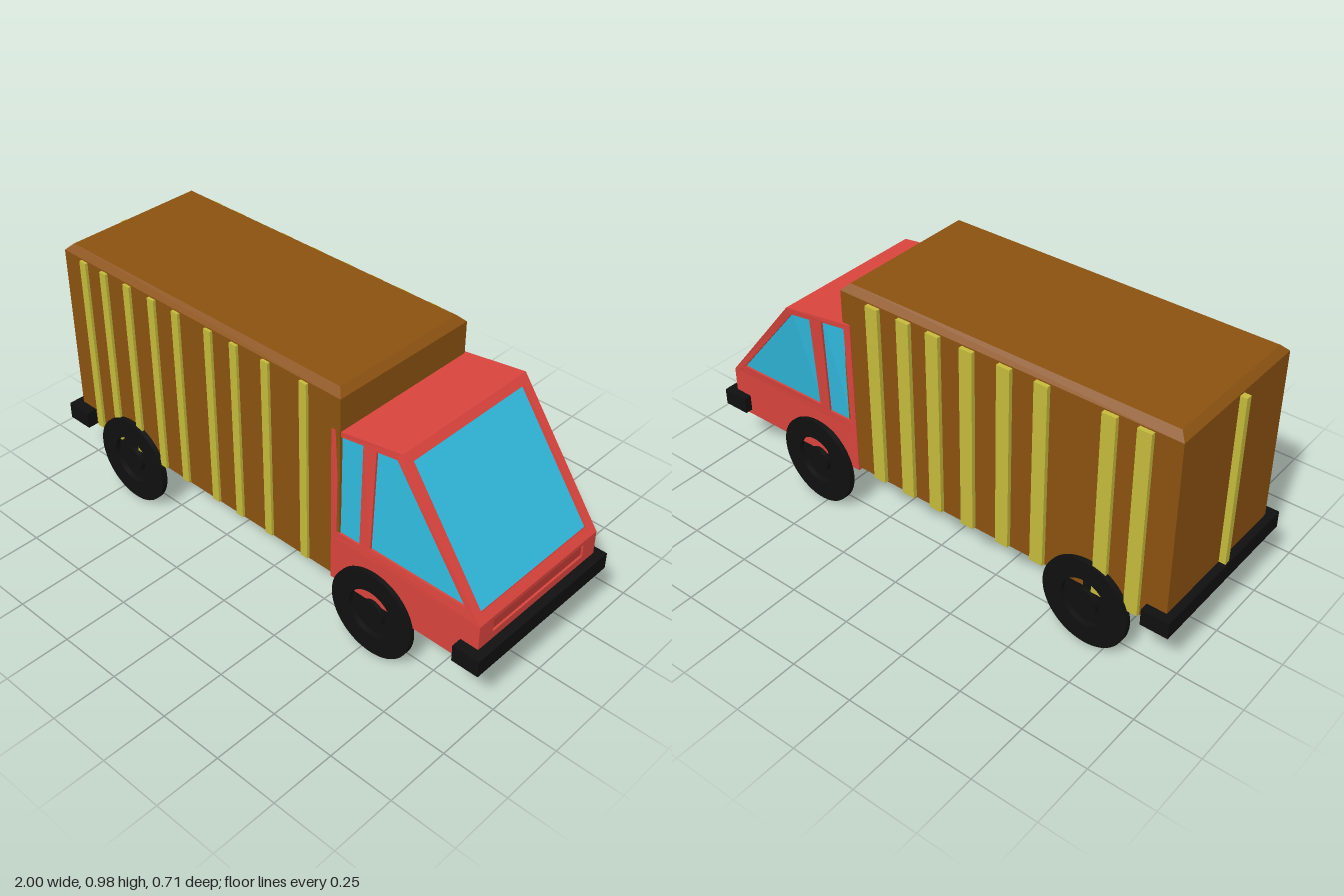
import * as THREE from 'three';

const mat = (color) => new THREE.MeshStandardMaterial({ color, flatShading: true });
const brown = mat(0x8b5210), red = mat(0xd9443d), yellow = mat(0xc6bb3c);
const glass = mat(0x30b8dc), black = mat(0x101010), darkRed = mat(0xc03a34);
const MID = 0.005; // z of the centre plane of the body

function add(parent, name, geometry, material) {
  const mesh = new THREE.Mesh(geometry, material);
  mesh.name = name;
  parent.add(mesh);
  return mesh;
}

// Box given by its limits
function box(x0, x1, y0, y1, z0, z1) {
  return new THREE.BoxGeometry(x1 - x0, y1 - y0, z1 - z0)
    .translate((x0 + x1) / 2, (y0 + y1) / 2, (z0 + z1) / 2);
}

const points = (list) => list.map(([x, y]) => new THREE.Vector2(x, y));
const rect = (x0, x1, y0, y1) => [[x0, y0], [x1, y0], [x1, y1], [x0, y1]];

// Flat panel with openings; its outer face lies at z = 0
function panel(outline, holes = [], depth = 0.02) {
  const shape = new THREE.Shape(points(outline));
  holes.forEach((h) => shape.holes.push(new THREE.Path(points(h))));
  return new THREE.ExtrudeGeometry(shape, { depth, bevelEnabled: false }).translate(0, 0, -depth);
}

// The upper cab leans sideways towards the top edge of the windscreen
function lean(geometry) {
  const p = geometry.attributes.position;
  for (let i = 0; i < p.count; i++) {
    const up = Math.max(0, (p.getY(i) - 0.39) / 0.44);
    const along = THREE.MathUtils.clamp((p.getX(i) - 0.34) / 0.25, 0, 1);
    p.setZ(i, p.getZ(i) - 0.05 * up * along + MID);
  }
  geometry.computeVertexNormals();
  return geometry;
}

function createCab() {
  const cab = new THREE.Group();
  cab.name = 'cab';
  const W = 0.31;
  const rearWindow = [[0.365, 0.42], [0.465, 0.42], [0.455, 0.81], [0.365, 0.81]];
  const doorWindow = [[0.51, 0.43], [0.9, 0.43], [0.575, 0.805], [0.502, 0.805]];
  const upper = [[0.34, 0.39], [0.965, 0.39], [0.59, 0.83], [0.34, 0.83]];
  const lower = [[0.34, 0.21], [0.96, 0.21], [0.965, 0.39], [0.34, 0.39]];

  // Side walls and side windows
  for (const side of [1, -1]) {
    const word = side > 0 ? 'Front' : 'Back';
    const place = (g, inset = 0) => {
      g.translate(0, 0, side > 0 ? W - inset : -W + inset + 0.02);
      return lean(g);
    };
    add(cab, 'cabUpperSide' + word, place(panel(upper, [rearWindow, doorWindow])), red);
    add(cab, 'cabLowerSide' + word, place(panel(lower)), red);
    add(cab, 'rearSideWindow' + word, place(panel(rearWindow), 0.008), glass);
    add(cab, 'doorWindow' + word, place(panel(doorWindow), 0.008), glass);
  }

  // Sloping windscreen in its frame
  const rise = new THREE.Vector3(-0.375, 0.44, 0);
  const length = rise.length();
  rise.normalize();
  const across = new THREE.Vector3(0, 0, -1);
  const slope = new THREE.Matrix4()
    .makeBasis(across, rise, new THREE.Vector3().crossVectors(across, rise))
    .setPosition(0.965, 0.39, 0);
  const pane = rect(-0.28, 0.28, 0.035, length - 0.035);
  add(cab, 'windscreenFrame', lean(panel(rect(-W, W, 0, length), [pane]).applyMatrix4(slope)), red);
  add(cab, 'windscreen', lean(panel(pane).translate(0, 0, -0.012).applyMatrix4(slope)), glass);

  // Nose with a recessed grille
  const nose = new THREE.Matrix4()
    .makeBasis(across, new THREE.Vector3(0, 1, 0), new THREE.Vector3(1, 0, 0))
    .setPosition(0.965, 0, 0);
  const grille = rect(-0.24, 0.24, 0.325, 0.375);
  add(cab, 'nose', lean(panel(rect(-W, W, 0.21, 0.39), [grille]).applyMatrix4(nose)), red);
  add(cab, 'grille', lean(panel(grille).translate(0, 0, -0.008).applyMatrix4(nose)), darkRed);

  // Roof, floor and rear wall
  add(cab, 'cabRoof', lean(box(0.34, 0.59, 0.812, 0.83, -W, W)), red);
  add(cab, 'cabFloor', lean(box(0.34, 0.96, 0.21, 0.225, -W, W)), red);
  add(cab, 'cabRearWall', lean(box(0.34, 0.36, 0.21, 0.83, -W, W)), red);
  return cab;
}

function createCargo() {
  const cargo = new THREE.Group();
  cargo.name = 'cargoBox';
  // Box with chamfered top and bottom edges
  const c = 0.025;
  const shape = new THREE.Shape(points(rect(-0.97 + c, 0.375 - c, -0.307 + c, 0.307 - c)));
  const body = new THREE.ExtrudeGeometry(shape, {
    depth: 0.78 - 2 * c, bevelThickness: c, bevelSize: c, bevelSegments: 1,
  });
  body.rotateX(-Math.PI / 2).translate(0, 0.2 + c, MID);
  add(cargo, 'cargoBody', body, brown);

  // Upright ribs on both sides and one on the rear
  const frontRibs = [-0.86, -0.75, -0.625, -0.497, -0.375, -0.215, -0.093, 0.052, 0.222];
  const backRibs = [-0.845, -0.72, -0.47, -0.325, -0.175, -0.035, 0.09, 0.225];
  const halfWidth = 0.02;
  for (const x of frontRibs)
    add(cargo, 'frontRib', box(x - halfWidth * 0.8, x + halfWidth * 0.8, 0.23, 0.95, 0.3, 0.323), yellow);
  for (const x of backRibs)
    add(cargo, 'backRib', box(x - 0.026, x + 0.026, 0.23, 0.95, -0.318, -0.29), yellow);
  add(cargo, 'rearRib', box(-0.995, -0.96, 0.23, 0.95, 0.008, 0.032), yellow);
  return cargo;
}

// Wheel facing +z: flat tyre ring, inner drum and small hub
function createWheel() {
  const wheel = new THREE.Group();
  wheel.name = 'wheel';
  const ring = new THREE.Shape().absarc(0, 0, 0.173, 0, Math.PI * 2);
  ring.holes.push(new THREE.Path().absarc(0, 0, 0.095, 0, Math.PI * 2, true));
  const tyre = new THREE.ExtrudeGeometry(ring, { depth: 0.022, bevelEnabled: false, curveSegments: 32 });
  add(wheel, 'tyre', tyre.translate(0, 0, -0.011), black);
  const disc = (r, z0, z1) =>
    new THREE.CylinderGeometry(r, r, z1 - z0, 24).rotateX(Math.PI / 2).translate(0, 0, (z0 + z1) / 2);
  add(wheel, 'drum', disc(0.1, -0.052, -0.009), black);
  add(wheel, 'hub', disc(0.05, -0.012, 0.009), black);
  return wheel;
}

export function createModel() {
  const truck = new THREE.Group();
  truck.name = 'truck';
  truck.add(createCargo(), createCab());

  // Bumpers
  add(truck, 'frontBumper', box(0.895, 1, 0.23, 0.295, -0.335, 0.355), black);
  add(truck, 'rearBumper', box(-1, -0.895, 0.222, 0.288, -0.335, 0.355), black);

  // Wheels; those on the back side are slightly turned
  for (const x of [-0.672, 0.535]) {
    const near = createWheel();
    near.position.set(x, 0.173, 0.321);
    const far = createWheel();
    far.position.set(x, 0.173, -0.312);
    far.rotation.y = Math.PI - 0.05;
    truck.add(near, far);
  }
  return truck;
}
